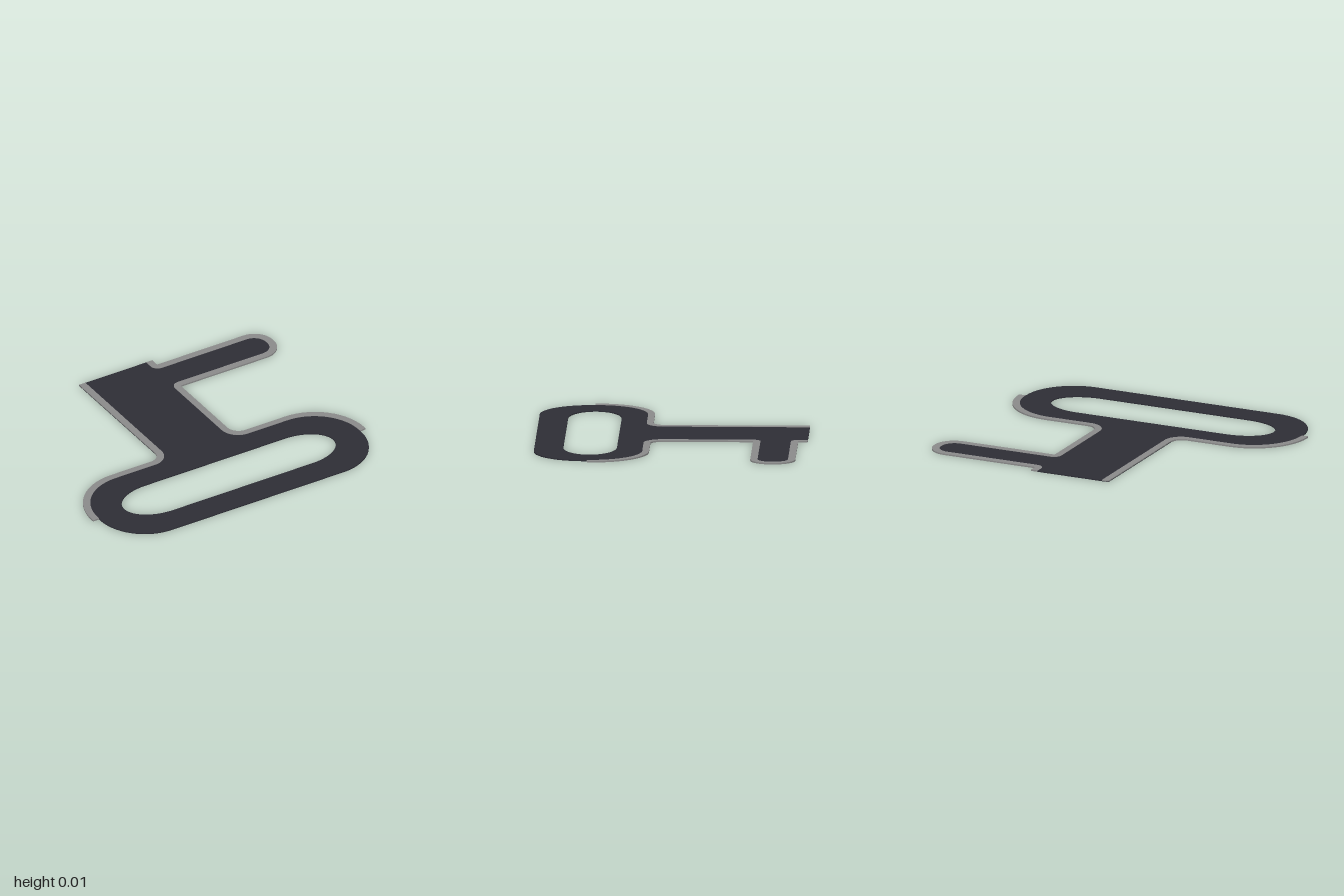
import * as THREE from 'three';

const dark = new THREE.MeshStandardMaterial({ color: 0x2d2d35 });
dark.name = 'dark plate';
const grey = new THREE.MeshStandardMaterial({ color: 0x8a8a8a });
grey.name = 'grey trim';

// Turns [x, z, radius] corners (right angles) into a path with rounded corners.
function rounded(corners, steps = 14) {
  const out = [];
  corners.forEach(([x, z, r], i) => {
    const c = new THREE.Vector2(x, z);
    if (!r) { out.push(c); return; }
    const toward = (p) => new THREE.Vector2(p[0], p[1]).sub(c).normalize();
    const d1 = toward(corners[i - 1]);
    const d2 = toward(corners[i + 1]);
    const centre = c.clone().addScaledVector(d1, r).addScaledVector(d2, r);
    for (let k = 0; k <= steps; k++) {
      const t = (k / steps) * Math.PI / 2;
      out.push(centre.clone().addScaledVector(d2, -r * Math.cos(t)).addScaledVector(d1, -r * Math.sin(t)));
    }
  });
  return out;
}

// Flat slab from an (x, z) outline, between two heights.
function slab(name, shape, material, bottom, top) {
  const geometry = new THREE.ExtrudeGeometry(shape, { depth: top - bottom, bevelEnabled: false, curveSegments: 32 });
  geometry.rotateX(Math.PI / 2).translate(0, top, 0);
  const mesh = new THREE.Mesh(geometry, material);
  mesh.name = name;
  return mesh;
}

const strip = (outer, inner) => new THREE.Shape([...outer, ...[...inner].reverse()]);

export function createModel() {
  const group = new THREE.Group();
  group.name = 'flatBracket';

  // Edges of the dark plate, from the back of the stem to the loop
  const leftEdge = rounded([[-0.235, -0.84], [-0.235, 0.167, 0.11], [-0.957, 0.167, 0.32], [-0.957, 0.5]]);
  const rightEdge = rounded([
    [0.203, -0.84], [0.203, -0.737, 0.05], [0.952, -0.737, 0.085], [0.952, -0.55, 0.085],
    [0.203, -0.55, 0.05], [0.203, 0.167, 0.12], [0.925, 0.167, 0.32], [0.925, 0.5],
  ]);
  const frontEdge = rounded([[0.925, 0.5], [0.925, 0.834, 0.32], [-0.957, 0.834, 0.32], [-0.957, 0.5]]);

  // Plate with the long slot
  const plate = new THREE.Shape([...rightEdge, ...frontEdge.slice(1, -1), ...[...leftEdge].reverse()]);
  const slot = new THREE.Path();
  slot.moveTo(-0.52, 0.326);
  slot.lineTo(0.49, 0.326);
  slot.absellipse(0.49, 0.491, 0.246, 0.165, -Math.PI / 2, Math.PI / 2, false);
  slot.lineTo(-0.52, 0.656);
  slot.absellipse(-0.52, 0.491, 0.249, 0.165, Math.PI / 2, Math.PI * 1.5, false);
  plate.holes.push(slot);
  group.add(slab('plate', plate, dark, 0, 0.007));

  // Trim along the stem, lying on a dark backing
  const stemStrip = strip(
    [new THREE.Vector2(-0.28, -0.84), new THREE.Vector2(-0.28, 0.05)],
    [new THREE.Vector2(-0.235, -0.84), new THREE.Vector2(-0.235, 0.05)],
  );
  group.add(slab('stemTrim', stemStrip, grey, 0.003, 0.009));
  group.add(slab('stemTrimBacking', stemStrip, dark, 0, 0.003));

  // Trim round the right end of the loop (model's -x side)
  const loopOuter = rounded([[-0.28, 0.05], [-0.28, 0.125, 0.075], [-1, 0.125, 0.355], [-1, 0.5]]);
  const loopInner = rounded([[-0.235, 0.05], [-0.235, 0.167, 0.11], [-0.957, 0.167, 0.32], [-0.957, 0.5]]);
  group.add(slab('loopTrim', strip(loopOuter, loopInner), grey, 0, 0.009));

  // Trim round the arm and the other end of the loop
  const armOuter = rounded([
    [0.247, -0.84], [0.247, -0.782], [1, -0.782, 0.13], [1, -0.505, 0.13],
    [0.247, -0.505], [0.247, 0.125, 0.08], [0.968, 0.125, 0.355], [0.968, 0.495],
  ]);
  group.add(slab('armTrim', strip(armOuter, rightEdge), grey, 0, 0.009));

  return group;
}
